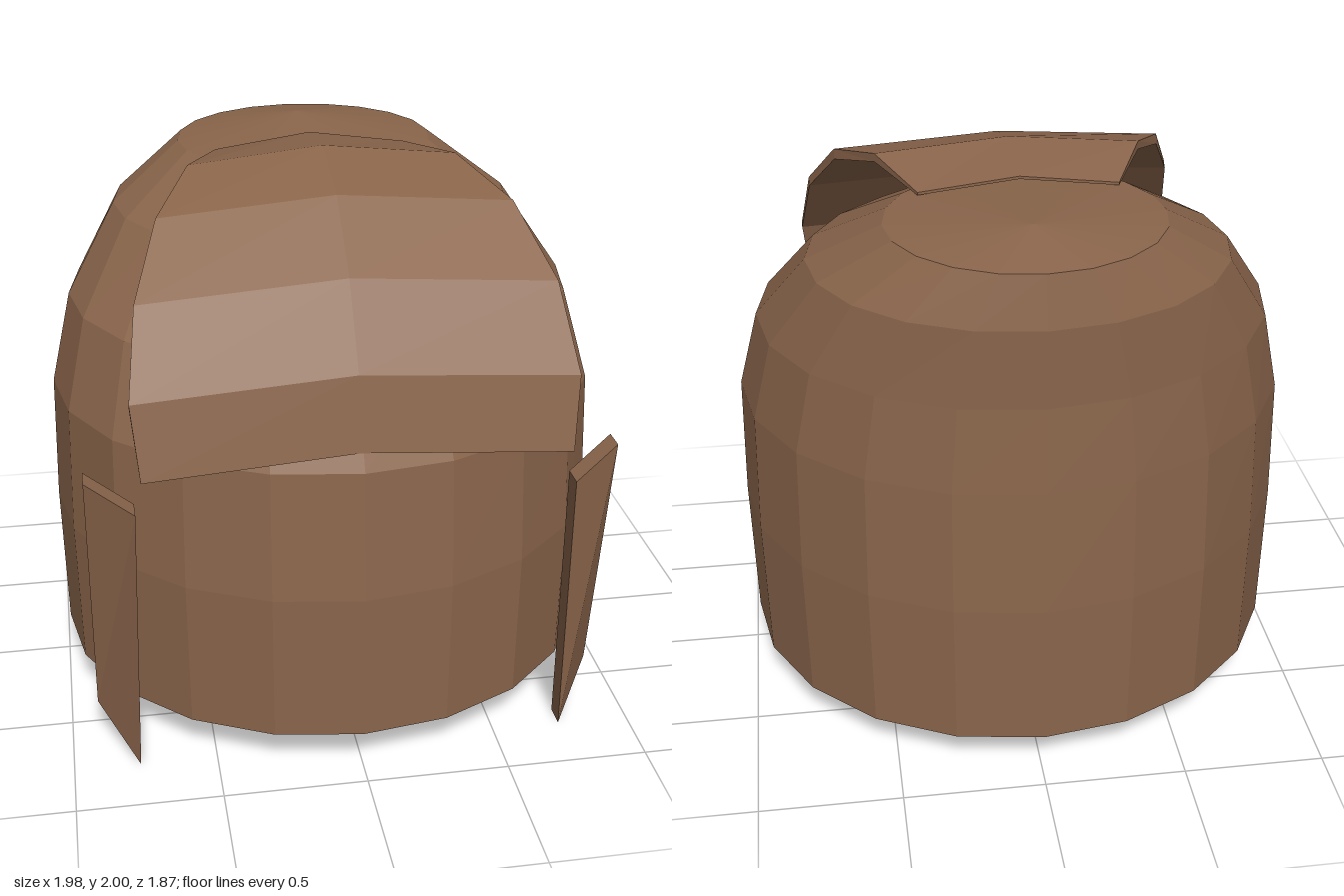
import * as THREE from 'three';

// Skin a list of equal-length closed rings; optionally close both ends.
function loft(rings, capped) {
  const pos = [];
  const tri = (a, b, c) => {
    if (a.distanceTo(b) < 1e-5 || b.distanceTo(c) < 1e-5 || a.distanceTo(c) < 1e-5) return;
    for (const p of [a, b, c]) pos.push(p.x, p.y, p.z);
  };
  const n = rings[0].length;
  for (let r = 0; r < rings.length - 1; r++) {
    for (let i = 0; i < n; i++) {
      const j = (i + 1) % n, lo = rings[r], hi = rings[r + 1];
      tri(lo[i], lo[j], hi[j]);
      tri(lo[i], hi[j], hi[i]);
    }
  }
  if (capped) {
    const s = rings[0], e = rings[rings.length - 1];
    for (let k = 2; k < n; k++) {
      const b = k, c = (k + 1) % n;
      tri(e[1], e[b], e[c]);
      tri(s[1], s[c], s[b]);
    }
  }
  const g = new THREE.BufferGeometry();
  g.setAttribute('position', new THREE.Float32BufferAttribute(pos, 3));
  g.computeVertexNormals();
  return g;
}

const v = (x, y, z) => new THREE.Vector3(x, y, z);

export function createModel() {
  const group = new THREE.Group();
  const brown = new THREE.MeshStandardMaterial({ color: 0x8a654b, flatShading: true, side: THREE.DoubleSide });
  brown.name = 'hair brown';
  const add = (name, geometry) => {
    const m = new THREE.Mesh(geometry, brown);
    m.name = name;
    group.add(m);
  };

  // Cap: open at the bottom, rings slide backwards towards the crown.
  // [y, half width, front z, back z]
  const capRings = [
    [0.15, 0.983, 0.934, -0.926],
    [0.69, 0.992, 0.937, -0.93],
    [1.145, 0.98, 0.897, -0.912],
    [1.45, 0.905, 0.736, -0.892],
    [1.725, 0.725, 0.39, -0.896],
    [1.9, 0.47, 0.04, -0.858],
    [1.947, 0, -0.58, -0.58],
  ].map(([y, w, f, b]) => Array.from({ length: 20 }, (_, i) => {
    const a = (i / 20) * Math.PI * 2;
    return v(-0.004 + w * Math.sin(a), y, (f + b) / 2 + ((f - b) / 2) * Math.cos(a));
  }));
  add('hairCap', loft(capRings, false));

  // Fringe: thin curved slab with a raised centre line, from crown to brow.
  // [half width, outer y, outer z, inner y, inner z]
  const cx = -0.012, rise = 0.045, back = 0.013;
  const fringe = [
    [0.343, 1.92, -0.2, 1.91, -0.2],
    [0.468, 1.955, 0.095, 1.925, 0.093],
    [0.6, 1.87, 0.39, 1.835, 0.378],
    [0.695, 1.67, 0.64, 1.645, 0.615],
    [0.733, 1.41, 0.825, 1.395, 0.805],
    [0.71, 1.16, 0.88, 1.158, 0.873],
  ].map(([w, y, z, yi, zi]) => [
    v(cx + w, y, z), v(cx, y + rise, z - back), v(cx - w, y, z),
    v(cx - w, yi, zi), v(cx, yi + rise, zi - back), v(cx + w, yi, zi),
  ]);
  add('fringe', loft(fringe, true));

  // Slanted side locks hanging in front of the ears.
  const depth = 0.082;
  for (const [name, s] of [['leftSideLock', 1], ['rightSideLock', -1]]) {
    const ring = (inner, outer) => {
      const p = [inner, outer, [outer[0], outer[1], outer[2] - depth], [inner[0], inner[1], inner[2] - depth]]
        .map(([x, y, z]) => v(cx + s * x, y, z));
      return s > 0 ? p : p.reverse();
    };
    add(name, loft([
      ring([0.757, 0, 0.782], [0.892, 0.17, 0.622]),
      ring([0.732, 1.035, 0.86], [0.892, 1.127, 0.79]),
    ], true));
  }
  return group;
}
